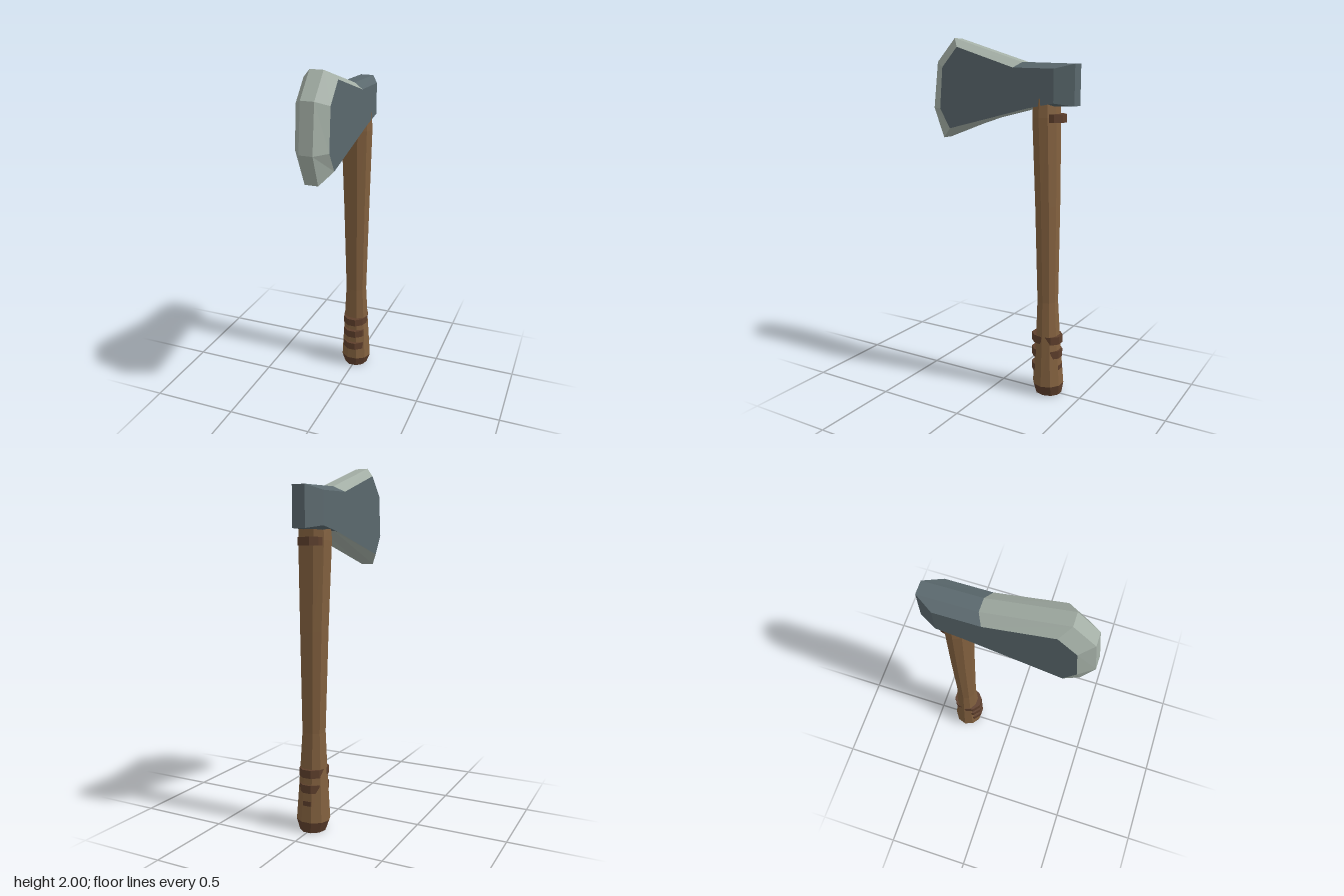
import * as THREE from 'three';

const mat = (name, color) => {
  const m = new THREE.MeshStandardMaterial({ color, flatShading: true });
  m.name = name;
  return m;
};

// Non-indexed geometry from a list of Vector3 triangles
function fromTriangles(tris) {
  const g = new THREE.BufferGeometry().setFromPoints(tris.flat());
  g.computeVertexNormals();
  return g;
}

// Skin between equal-length closed rings
function band(a, b) {
  return a.flatMap((p, i) => {
    const j = (i + 1) % a.length;
    return [[p, b[i], b[j]], [p, b[j], a[j]]];
  });
}

export function createModel() {
  const wood = mat('wood', 0x83613f);
  const darkWood = mat('dark wood', 0x5e3f2c);
  const steel = mat('dark steel', 0x5a686d);
  const edgeSteel = mat('light steel', 0xa3aea5);
  const model = new THREE.Group();
  model.name = 'axe';
  const add = (name, geometry, material, parent = model) => {
    const mesh = new THREE.Mesh(geometry, material);
    mesh.name = name;
    parent.add(mesh);
    return mesh;
  };

  // Handle rings: y, half width, half depth, centre z
  const SIDES = 10;
  const ring = ([y, rx, rz, cz]) => Array.from({ length: SIDES }, (_, i) => {
    const a = ((i + 0.5) / SIDES) * Math.PI * 2;
    return new THREE.Vector3(Math.sin(a) * rx, y, cz + Math.cos(a) * rz);
  });
  const rings = [
    [0, 0.073, 0.077, -0.302],
    [0.06, 0.095, 0.088, -0.3],
    [0.34, 0.078, 0.067, -0.295],
    [0.55, 0.066, 0.058, -0.29],
    [1.1, 0.08, 0.068, -0.281],
    [1.58, 0.095, 0.076, -0.268],
    [1.68, 0.09, 0.07, -0.268],
  ].map(ring);
  const upward = (lo, hi) => band(lo, hi).map(([a, b, c]) => [a, c, b]);
  const cap = r => r.slice(2).map((p, i) => [r[0], r[i + 1], p]);
  const shaft = [];
  for (let i = 1; i < rings.length - 1; i++) shaft.push(...upward(rings[i], rings[i + 1]));
  shaft.push(...cap(rings[rings.length - 1]));
  add('handle', fromTriangles(shaft), wood);
  const butt = upward(rings[0], rings[1]);
  butt.push(...cap(rings[0]).map(([a, b, c]) => [a, c, b]));
  add('handleButt', fromTriangles(butt), darkWood);

  // Grip wraps and the collar below the head
  for (const y of [0.155, 0.245, 0.33, 1.575]) {
    const g = new THREE.CylinderGeometry(1, 1, 0.045, SIDES, 1, false, Math.PI / SIDES);
    g.scale(0.077, 1, 0.09);
    add(y > 1 ? 'collar' : 'gripWrap', g, darkWood).position.set(0, y, -0.29);
  }

  // Head profiles as [z, y]: centre strip and side faces
  const outer = [[-0.445, 1.857], [-0.135, 1.867], [0.3, 2], [0.42, 1.87],
    [0.45, 1.61], [0.385, 1.44], [-0.13, 1.63], [-0.445, 1.64]];
  const inner = [[-0.35, 1.832], [-0.107, 1.838], [0.25, 1.95], [0.35, 1.84],
    [0.37, 1.61], [0.305, 1.5], [-0.2, 1.627], [-0.35, 1.655]];
  const section = (profile, x) => profile.map(([z, y]) => new THREE.Vector3(x - 0.003, y, z));
  const sections = [section(inner, -0.092), section(outer, -0.037),
    section(outer, 0.037), section(inner, 0.092)];
  const body = [], edge = [];
  for (let s = 0; s < 3; s++) {
    band(sections[s], sections[s + 1]).forEach((t, k) => {
      const side = k >> 1;
      // Ground bevel runs along the top, cutting edge and lower beard
      (side >= 1 && side <= 5 ? edge : body).push([t[0], t[2], t[1]]);
    });
  }
  // Flat cheeks, fanned from the top notch
  for (let i = 2; i < 8; i++) {
    const j = (i + 1) % 8;
    const [r, l] = [sections[0], sections[3]];
    body.push([r[1], r[i], r[j]], [l[1], l[j], l[i]]);
  }
  // Make every head face point outward
  const orient = tris => tris.map(([a, b, c]) => [a, b, c]);
  const head = new THREE.Group();
  head.name = 'head';
  model.add(head);
  const volume = [...body, ...edge].reduce((v, [a, b, c]) =>
    v + a.dot(new THREE.Vector3().crossVectors(b, c)), 0);
  const cheek = body[body.length - 2];
  const cheekOut = new THREE.Vector3().subVectors(cheek[1], cheek[0])
    .cross(new THREE.Vector3().subVectors(cheek[2], cheek[0])).x < 0;
  const flip = tris => tris.map(([a, b, c]) => [a, c, b]);
  const fix = volume > 0 && cheekOut ? orient : flip;
  steel.side = edgeSteel.side = THREE.DoubleSide;
  add('headBody', fromTriangles(fix(body)), steel, head);
  add('bladeEdge', fromTriangles(fix(edge)), edgeSteel, head);

  return model;
}
